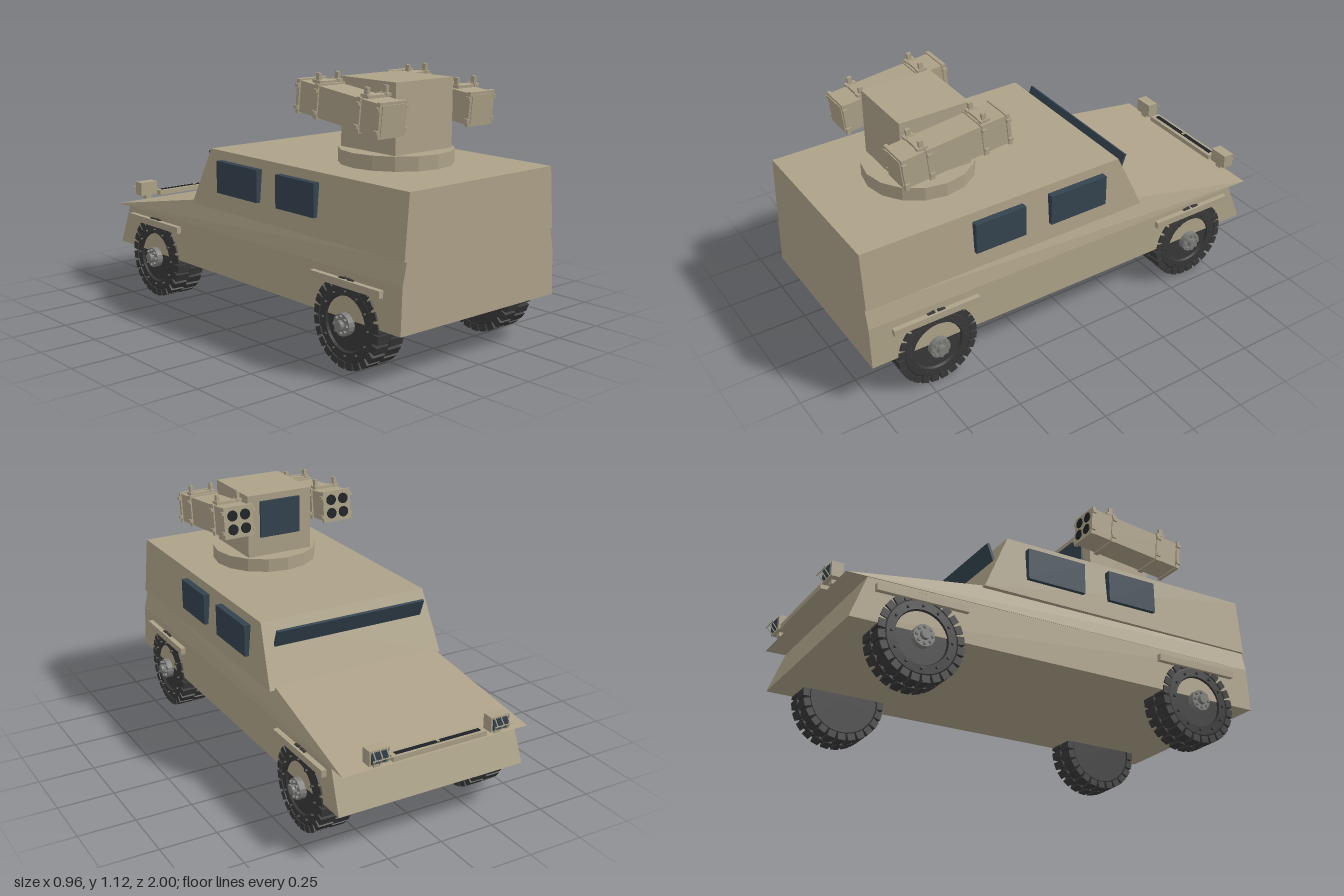
import * as THREE from 'three';
import { ConvexGeometry } from 'three/addons/geometries/ConvexGeometry.js';

const mat = (color) => new THREE.MeshStandardMaterial({ color, flatShading: true });
const tan = mat(0xada288), glass = mat(0x34434f), rubber = mat(0x383838);
const dark = mat(0x1d2226), steel = mat(0x7d7d7a);

function add(parent, name, geometry, material, x = 0, y = 0, z = 0) {
  const mesh = new THREE.Mesh(geometry, material);
  mesh.name = name;
  mesh.position.set(x, y, z);
  parent.add(mesh);
  return mesh;
}
const box = (parent, name, w, h, d, x, y, z, m = tan) =>
  add(parent, name, new THREE.BoxGeometry(w, h, d), m, x, y, z);

// Cylinder lying along x
const axle = (r, length, sides, r2 = r) =>
  new THREE.CylinderGeometry(r, r2, length, sides).rotateZ(-Math.PI / 2);

// Convex solid from half-side corners [x, y, z], mirrored across x
const symmetricSolid = (corners) => new ConvexGeometry(
  corners.flatMap(([x, y, z]) => [new THREE.Vector3(x, y, z), new THREE.Vector3(-x, y, z)]));

// Wheel with its outer face towards +x, centred on the tyre
function makeWheel() {
  const wheel = new THREE.Group();
  const profile = [[0, -0.066], [0.15, -0.066], [0.172, -0.055], [0.176, 0], [0.172, 0.055],
    [0.15, 0.068], [0.115, 0.07], [0.11, 0.06], [0.06, 0.06], [0, 0.06]]
    .map(([r, a]) => new THREE.Vector2(r, a));
  add(wheel, 'tyre', new THREE.LatheGeometry(profile, 40).rotateZ(-Math.PI / 2), rubber);

  // Two staggered rows of tread blocks
  const count = 24;
  for (let i = 0; i < count; i++) {
    for (const row of [-1, 1]) {
      const a = ((i + (row > 0 ? 0.5 : 0)) / count) * Math.PI * 2;
      const lug = box(wheel, 'treadBlock', 0.068, 0.03, 0.034,
        row * 0.036, Math.cos(a) * 0.17, Math.sin(a) * 0.17, rubber);
      lug.rotation.x = a;
    }
  }
  // Sidewall studs
  for (let i = 0; i < 12; i++) {
    const a = (i / 12) * Math.PI * 2;
    add(wheel, 'sidewallStud', axle(0.006, 0.016, 6), rubber,
      0.072, Math.cos(a) * 0.13, Math.sin(a) * 0.13);
  }
  // Hub with bolts
  add(wheel, 'hub', axle(0.046, 0.035, 16), steel, 0.072);
  add(wheel, 'hubCap', axle(0.02, 0.024, 12), steel, 0.097);
  for (let i = 0; i < 8; i++) {
    const a = (i / 8) * Math.PI * 2;
    add(wheel, 'hubBolt', axle(0.007, 0.014, 6), steel,
      0.093, Math.cos(a) * 0.034, Math.sin(a) * 0.034);
  }
  return wheel;
}

// Launcher pod, muzzle end towards -z
function makePod() {
  const pod = new THREE.Group();
  box(pod, 'podBody', 0.13, 0.13, 0.49, 0, 0, 0);
  // Frames around the ends and bands along the length
  for (const z of [-0.238, -0.125, 0.125, 0.238]) {
    const end = Math.abs(z) > 0.2;
    box(pod, 'podBand', 0.143, 0.143, end ? 0.016 : 0.022, 0, 0, z);
    for (const s of [-1, 1]) for (const y of [-0.045, 0.045])
      box(pod, 'podLatch', 0.014, 0.014, 0.02, s * 0.073, y, z);
  }
  // Recessed-looking panel at the rear
  box(pod, 'rearPanel', 0.12, 0.12, 0.008, 0, 0, 0.246);
  // Four launch tubes
  for (const x of [-0.031, 0.031]) for (const y of [-0.031, 0.031]) {
    add(pod, 'launchTube', new THREE.CylinderGeometry(0.024, 0.024, 0.012, 16).rotateX(Math.PI / 2),
      dark, x, y, -0.245);
  }
  // Lifting lugs on top
  for (const z of [-0.14, 0.145]) {
    box(pod, 'lugPlate', 0.12, 0.012, 0.034, 0, 0.075, z);
    for (const x of [-0.05, 0.05]) {
      box(pod, 'liftingLug', 0.014, 0.04, 0.02, x, 0.092, z);
      box(pod, 'lugFoot', 0.024, 0.012, 0.044, x, 0.078, z);
    }
  }
  return pod;
}

// Headlight with a wire guard, facing -z
function makeHeadlight() {
  const lamp = new THREE.Group();
  box(lamp, 'lampHousing', 0.09, 0.064, 0.05, 0, 0, 0.025);
  box(lamp, 'lampLens', 0.074, 0.048, 0.006, 0, 0, -0.002, glass);
  box(lamp, 'lampFoot', 0.03, 0.02, 0.03, 0, -0.04, 0.03);
  const wire = (pts) => add(lamp, 'guardWire', new THREE.TubeGeometry(
    new THREE.CatmullRomCurve3(pts.map((p) => new THREE.Vector3(...p)), false, 'catmullrom', 0),
    8, 0.0025, 5), tan);
  for (const x of [-0.03, 0, 0.03]) wire([[x, 0.03, 0], [x, 0, -0.025], [x, -0.03, 0]]);
  wire([[-0.045, 0, -0.025], [0, 0, -0.025], [0.045, 0, -0.025]]);
  return lamp;
}

export function createModel() {
  const model = new THREE.Group();
  model.name = 'armouredVehicle';

  // Lower hull, sloping middle with bonnet, and cabin
  add(model, 'lowerHull', symmetricSolid([
    [0.437, 0.207, 1], [0.43, 0.402, 1], [0.437, 0.207, -0.935], [0.43, 0.402, -0.86]]), tan);
  add(model, 'bonnet', symmetricSolid([
    [0.43, 0.4, 1], [0.409, 0.492, 1], [0.395, 0.503, -0.34],
    [0.43, 0.4, -0.86], [0.435, 0.39, -0.955]]), tan);
  add(model, 'cabin', symmetricSolid([
    [0.422, 0.49, 1], [0.4, 0.75, 1], [0.422, 0.49, -0.348], [0.4, 0.75, -0.23]]), tan);

  // Windows
  const windscreen = box(model, 'windscreen', 0.72, 0.08, 0.012, 0, 0.69, -0.285, glass);
  windscreen.rotation.x = -0.36;
  for (const s of [-1, 1]) {
    box(model, 'rearSideWindow', 0.03, 0.14, 0.24, s * 0.419, 0.64, 0.38, glass);
    box(model, 'frontSideWindow', 0.03, 0.14, 0.28, s * 0.419, 0.64, -0.005, glass);
  }

  // Wheels and the guards above them
  for (const s of [-1, 1]) for (const z of [0.7, -0.632]) {
    const wheel = makeWheel();
    wheel.name = 'wheel';
    wheel.position.set(s * 0.373, 0.187, z);
    wheel.rotation.y = s > 0 ? 0 : Math.PI;
    model.add(wheel);
    box(model, 'wheelGuard', 0.03, 0.03, 0.4, s * 0.439, 0.35, z);
  }

  // Nose bar and headlights
  box(model, 'noseBar', 0.44, 0.022, 0.05, 0, 0.417, -0.946);
  box(model, 'noseBarSlot', 0.4, 0.006, 0.02, 0, 0.427, -0.948, dark);
  box(model, 'noseBarPin', 0.012, 0.01, 0.014, 0, 0.428, -0.948);
  for (const s of [-1, 1]) {
    const lamp = makeHeadlight();
    lamp.name = 'headlight';
    lamp.position.set(s * 0.283, 0.447, -0.972);
    model.add(lamp);
  }

  // Turret
  const turret = new THREE.Group();
  turret.name = 'turret';
  model.add(turret);
  add(turret, 'turretRing', new THREE.CylinderGeometry(0.24, 0.24, 0.065, 16), tan, 0, 0.778, 0.515);
  box(turret, 'turretBody', 0.32, 0.295, 0.32, 0, 0.953, 0.515);
  box(turret, 'turretWindow', 0.2, 0.17, 0.014, 0, 0.985, 0.352, glass);
  for (const s of [-1, 1]) {
    const pod = makePod();
    pod.name = 'launcherPod';
    pod.position.set(s * 0.25, 0.997, 0.505);
    pod.rotation.x = 0.107;
    turret.add(pod);
    add(turret, 'podMount', axle(0.035, 0.05, 12), tan, s * 0.175, 0.99, 0.515);
  }
  return model;
}
